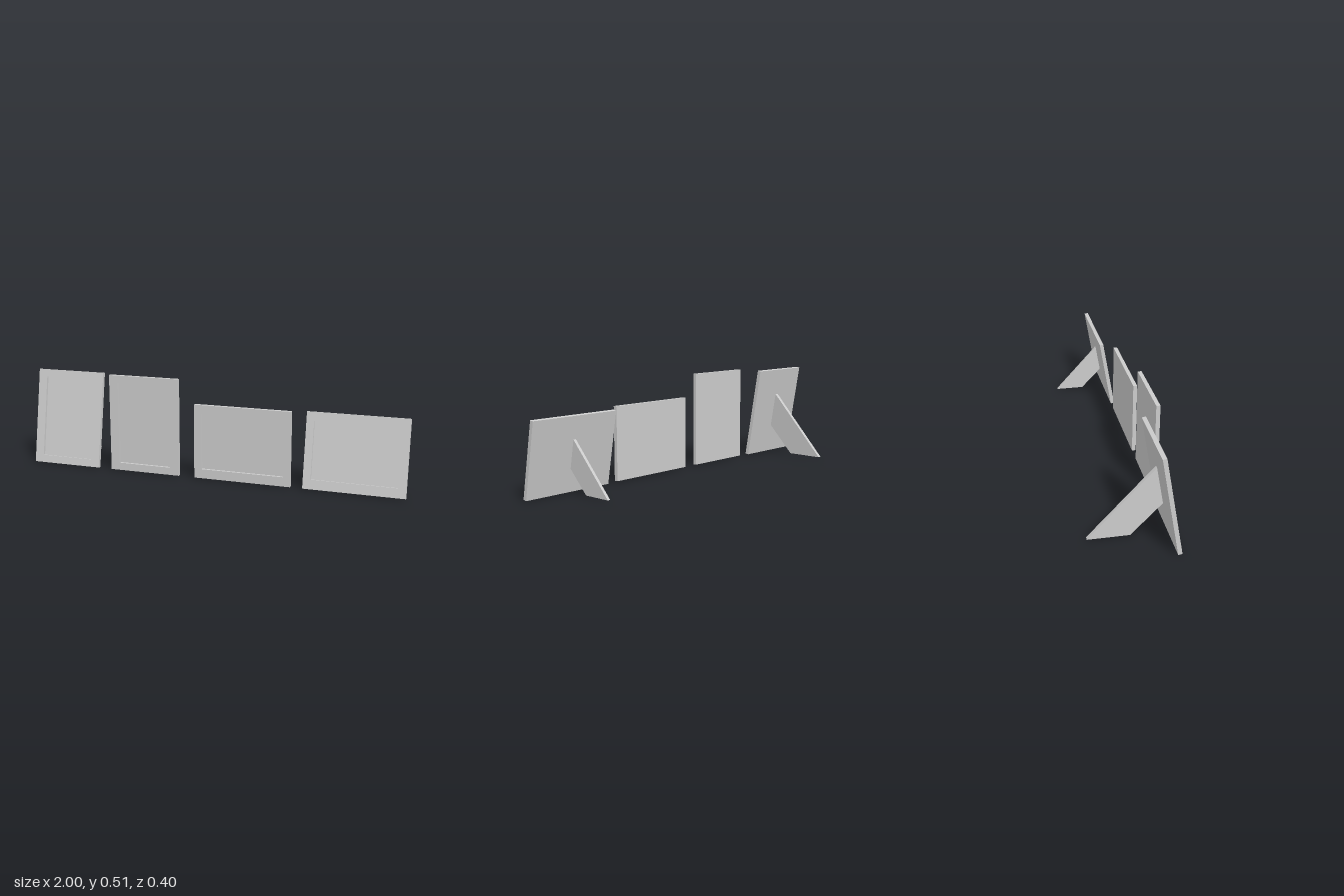
import * as THREE from 'three';

const material = new THREE.MeshStandardMaterial({ color: 0xcccccc });
const LONG = 0.505, SHORT = 0.382;        // outer frame sides
const RIM_LONG = 0.039, RIM_SHORT = 0.048; // rim widths along each side
const DEPTH = 0.02, RECESS = 0.013;
const FRONT = 0.199, FOOT = 0.0035;
const LEAN = THREE.MathUtils.degToRad(10);

function mesh(name, geometry) {
  const m = new THREE.Mesh(geometry, material);
  m.name = name;
  return m;
}

function rectangle(target, x, y, w, h) {
  target.moveTo(x, y);
  target.lineTo(x + w, y);
  target.lineTo(x + w, y + h);
  target.lineTo(x, y + h);
  target.closePath();
  return target;
}

// Rim with a recessed picture panel; origin at the bottom front edge
function pictureFrame(name, portrait) {
  const [w, h] = portrait ? [SHORT, LONG] : [LONG, SHORT];
  const [bx, by] = portrait ? [RIM_SHORT, RIM_LONG] : [RIM_LONG, RIM_SHORT];
  const frame = new THREE.Group();
  frame.name = name;

  const shape = rectangle(new THREE.Shape(), -w / 2, 0, w, h);
  shape.holes.push(rectangle(new THREE.Path(), -w / 2 + bx, by, w - 2 * bx, h - 2 * by));
  const rim = new THREE.ExtrudeGeometry(shape, { depth: RECESS, bevelEnabled: false });
  rim.translate(0, 0, -RECESS);
  frame.add(mesh('rim', rim));

  const back = new THREE.BoxGeometry(w, h, DEPTH - RECESS);
  back.translate(0, h / 2, -(RECESS + DEPTH) / 2);
  frame.add(mesh('backPanel', back));
  return frame;
}

// Flat easel leg cut from a side profile of [z, y] points
function easelLeg(x, thickness, profile) {
  const shape = new THREE.Shape(profile.map(([z, y]) => new THREE.Vector2(-z, y)));
  const geometry = new THREE.ExtrudeGeometry(shape, { depth: thickness, bevelEnabled: false });
  geometry.translate(0, 0, -thickness / 2);
  geometry.rotateY(Math.PI / 2);
  const leg = mesh('easelLeg', geometry);
  leg.position.x = x;
  return leg;
}

export function createModel() {
  const model = new THREE.Group();
  model.name = 'pictureFrames';

  const frames = [
    { name: 'standingPortraitFrame', x: -0.809, portrait: true, lean: LEAN },
    { name: 'wallPortraitFrame', x: -0.35, portrait: true, lean: 0 },
    { name: 'wallLandscapeFrame', x: 0.18, portrait: false, lean: 0 },
    { name: 'standingLandscapeFrame', x: 0.7475, portrait: false, lean: LEAN },
  ];
  for (const { name, x, portrait, lean } of frames) {
    const frame = pictureFrame(name, portrait);
    frame.position.set(x, FOOT, FRONT);
    frame.rotation.x = -lean;
    model.add(frame);
  }

  // Legs behind the two leaning frames
  model.add(easelLeg(-0.809, 0.02, [[0.119, 0.35], [0.152, 0.16], [0.002, 0.004], [-0.199, 0.004]]));
  model.add(easelLeg(0.744, 0.015, [[0.134, 0.262], [0.159, 0.118], [0.05, 0.004], [-0.101, 0.004]]));
  return model;
}
